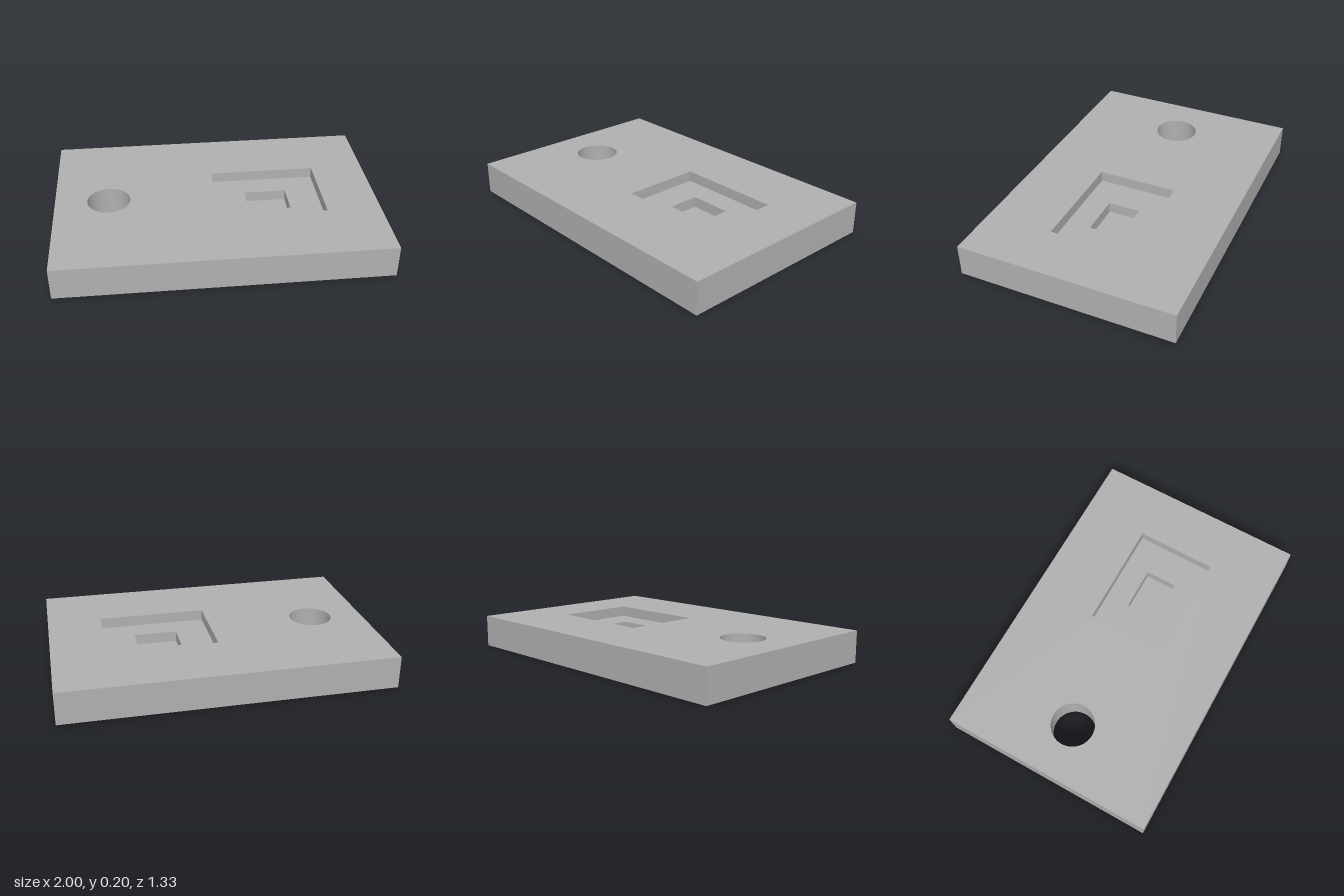
import * as THREE from 'three';

const W = 2, D = 4 / 3, H = 0.2;
const STEP = H / 3; // depth of each pocket
const HOLE = { x: -2 / 3, r: 2 / 15 };
const PLATE = { x0: -W / 2, x1: W / 2, z: D / 2 };
const OUTER = { x0: 0, x1: 2 / 3, z: 0.25 };
const INNER = { x0: 0.2, x1: 7 / 15, z: 0.1 };

// Rectangle outline, symmetric about z = 0
function outline({ x0, x1, z }, Type = THREE.Shape) {
  return new Type([
    new THREE.Vector2(x0, -z), new THREE.Vector2(x1, -z),
    new THREE.Vector2(x1, z), new THREE.Vector2(x0, z),
  ]);
}

const circle = () => new THREE.Path().absarc(HOLE.x, 0, HOLE.r, 0, Math.PI * 2, false);

export function createModel() {
  const group = new THREE.Group();
  const grey = new THREE.MeshStandardMaterial({ color: 0xb0b0b0 });
  grey.name = 'plain grey';

  function add(name, geometry, parent = group) {
    const mesh = new THREE.Mesh(geometry, grey);
    mesh.name = name;
    parent.add(mesh);
    return mesh;
  }

  // Horizontal face at height y, facing up or down
  function sheet(name, rect, holes, y, up = true) {
    const shape = outline(rect);
    shape.holes.push(...holes);
    const geometry = new THREE.ShapeGeometry(shape, 32);
    geometry.rotateX(up ? -Math.PI / 2 : Math.PI / 2);
    add(name, geometry.translate(0, y, 0));
  }

  // Four vertical walls round a rectangle, facing outward or inward
  function walls(name, { x0, x1, z }, y0, y1, outward) {
    const ring = new THREE.Group();
    ring.name = name;
    const cx = (x0 + x1) / 2, w = x1 - x0;
    for (let i = 0; i < 4; i++) {
      const angle = i * Math.PI / 2;
      const [length, reach] = i % 2 ? [2 * z, w / 2] : [w, z];
      const geometry = new THREE.PlaneGeometry(length, y1 - y0);
      if (!outward) geometry.rotateY(Math.PI);
      geometry.translate(0, (y0 + y1) / 2, reach).rotateY(angle).translate(cx, 0, 0);
      add('wall', geometry, ring);
    }
    group.add(ring);
  }

  // Plate
  sheet('topFace', PLATE, [circle(), outline(OUTER, THREE.Path)], H);
  sheet('bottomFace', PLATE, [circle()], 0, false);
  walls('plateSides', PLATE, 0, H, true);

  // Stepped pocket
  walls('outerPocketWalls', OUTER, H - STEP, H, false);
  sheet('outerPocketFloor', OUTER, [outline(INNER, THREE.Path)], H - STEP);
  walls('innerPocketWalls', INNER, H - 2 * STEP, H - STEP, false);
  sheet('innerPocketFloor', INNER, [], H - 2 * STEP);

  // Through hole: the profile runs downward so the surface faces the axis
  const bore = new THREE.LatheGeometry(
    [new THREE.Vector2(HOLE.r, H), new THREE.Vector2(HOLE.r, 0)], 64);
  add('throughHole', bore.translate(HOLE.x, 0, 0));

  return group;
}
